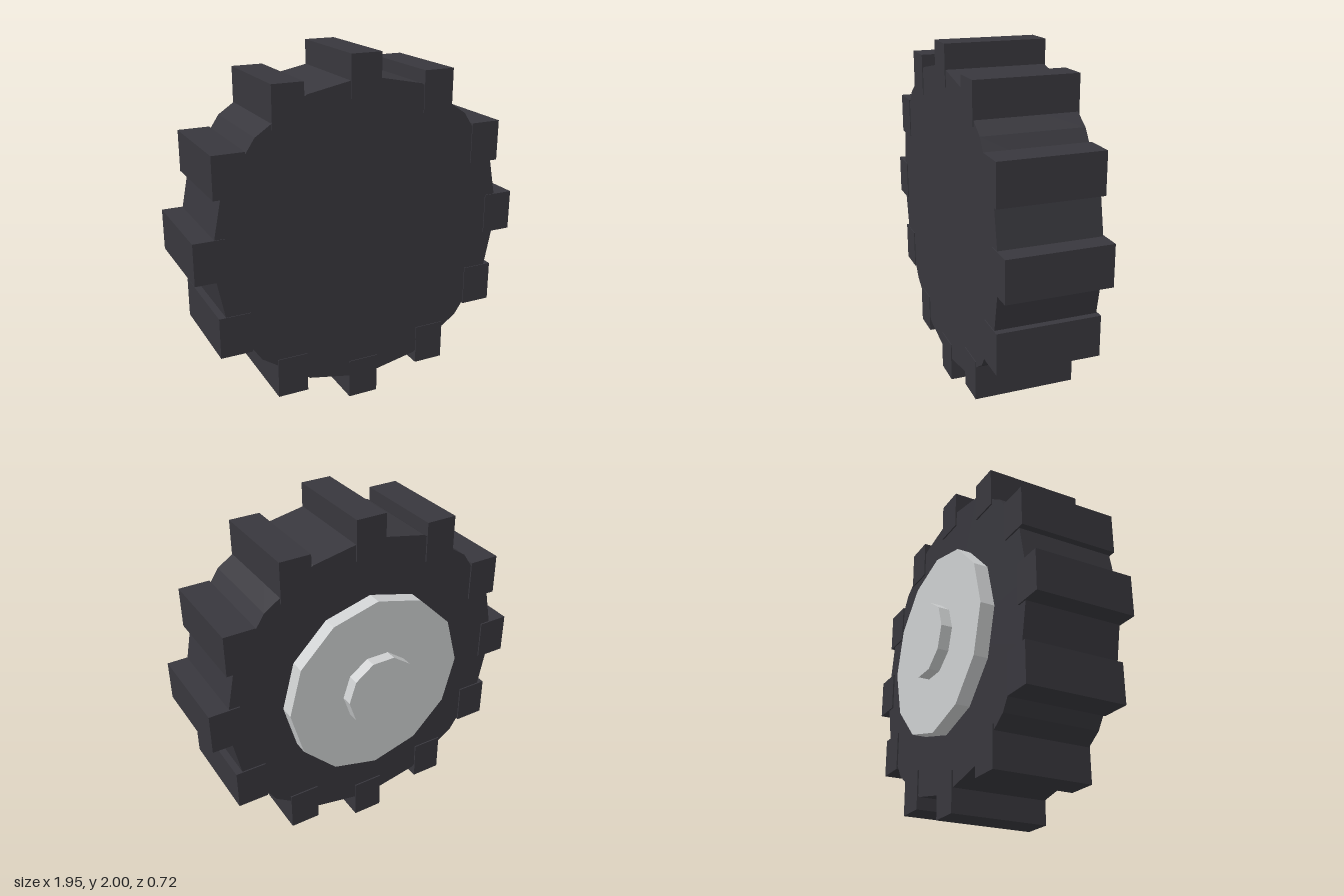
import * as THREE from 'three';

export function createModel() {
  const rubber = new THREE.MeshStandardMaterial({ color: 0x38373d });
  rubber.name = 'darkRubber';
  const metal = new THREE.MeshStandardMaterial({ color: 0xcdcfd0 });
  metal.name = 'lightMetal';
  rubber.flatShading = metal.flatShading = true;

  const wheel = new THREE.Group();
  wheel.name = 'wheel';
  wheel.position.y = 1;

  // Faceted disc along z, from z0 to z1, with a vertex on the x axis
  function disc(name, radius, z0, z1, sides, material) {
    const geometry = new THREE.CylinderGeometry(radius, radius, z1 - z0, sides);
    geometry.rotateY(Math.PI / 2).rotateX(Math.PI / 2);
    const mesh = new THREE.Mesh(geometry, material);
    mesh.name = name;
    mesh.position.z = (z0 + z1) / 2;
    wheel.add(mesh);
  }

  disc('tire', 0.88, -0.212, 0.355, 16, rubber);
  disc('hubPlate', 0.547, -0.295, -0.2, 12, metal);
  disc('hubCap', 0.217, -0.36, -0.28, 10, metal);

  // Upright tread blocks in a ring
  const treads = new THREE.Group();
  treads.name = 'treads';
  const block = new THREE.BoxGeometry(0.178, 0.232, 0.58);
  for (let i = 0; i < 12; i++) {
    const a = (i * Math.PI) / 6;
    const tread = new THREE.Mesh(block, rubber);
    tread.name = 'treadBlock';
    tread.position.set(0.884 * Math.cos(a), 0.884 * Math.sin(a), 0.07);
    treads.add(tread);
  }
  wheel.add(treads);

  const model = new THREE.Group();
  model.name = 'treadedWheel';
  model.add(wheel);
  return model;
}
